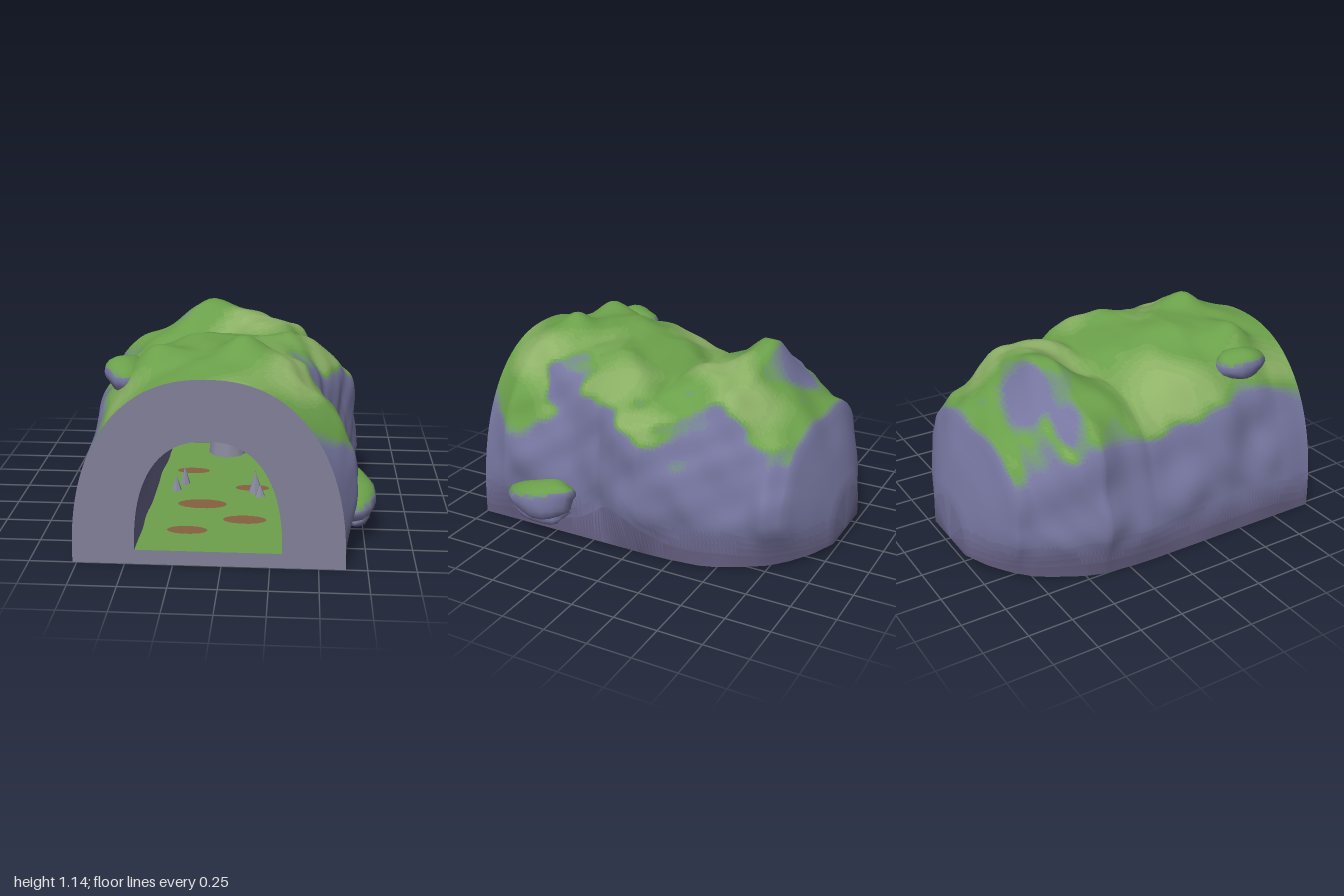
import * as THREE from 'three';
import { mergeVertices } from 'three/addons/utils/BufferGeometryUtils.js';

const mat = (color) => new THREE.MeshStandardMaterial({ color });
const FACE = mat(0x817f98), BASE = mat(0x4a4054), INNER = mat(0x66658c), SOIL = mat(0x86603f);
const STONE = mat(0x8a8aa0), CRYSTAL = mat(0x5fb0a8), FLOOR_MOSS = mat(0x6da04c);
const { lerp, smoothstep, clamp } = THREE.MathUtils;
const CX = -0.067;
const bell = (x, z, cx, cz, r) => Math.exp(-((x - cx) ** 2 + (z - cz) ** 2) / (r * r));
const noise = (x, y, z) =>
  Math.sin(7 * x + 3 * z + 1) * Math.sin(8 * y - 4 * z) + 0.6 * Math.sin(13 * z + 5 * y) * Math.sin(11 * x - 9 * y + 2);

// Colour ramp from shaded foot over bare rock and moss to pale moss
const STOPS = [0x5f5676, 0x7676a0, 0x6ba04a, 0x8fb268].map((c) => new THREE.Color(c));
const RAMP = Array.from({ length: 16 }, (_, i) => {
  const s = Math.min(Math.floor(i / 5), 2);
  return mat(STOPS[s].clone().lerp(STOPS[s + 1], i / 5 - s));
});

// z, left edge, right edge, crest height, half width on the ground
const STATIONS = [
  [1, -0.772, 0.638, 1.0, 0.705], [0.8, -0.765, 0.72, 1.04, 0.705], [0.67, -0.77, 0.68, 1.06, 0.705],
  [0.4, -0.77, 0.64, 1.06, 0.705], [0.2, -0.77, 0.65, 1.01, 0.705], [0.05, -0.77, 0.71, 0.97, 0.705],
  [-0.08, -0.775, 0.73, 0.91, 0.705], [-0.22, -0.79, 0.69, 0.97, 0.7], [-0.4, -0.82, 0.63, 1.02, 0.68],
  [-0.5, -0.77, 0.59, 1.01, 0.65], [-0.65, -0.7, 0.57, 0.86, 0.58], [-0.75, -0.65, 0.59, 0.78, 0.53],
  [-0.84, -0.63, 0.52, 0.72, 0.45], [-0.93, -0.47, 0.34, 0.52, 0.34], [-1, -0.27, 0.14, 0.3, 0.2],
];
function station(z) {
  let i = 0;
  while (i < STATIONS.length - 2 && STATIONS[i + 1][0] > z) i++;
  const a = STATIONS[i], b = STATIONS[i + 1], k = (z - a[0]) / (b[0] - a[0]);
  return a.map((v, n) => lerp(v, b[n], k));
}

// Unit arch point: t runs from the +x foot over the crown to the -x foot
function archPoint(t, n) {
  const c = Math.cos(t), s = Math.max(Math.sin(t), 0);
  return [Math.sign(c) * Math.abs(c) ** (2 / n), s < 1e-9 ? 0 : s ** (2 / n)];
}

// Skin between equal rings; flip turns the faces inwards
function loft(rings, flip = false) {
  const w = rings[0].length, index = [];
  for (let i = 0; i < rings.length - 1; i++)
    for (let j = 0; j < w - 1; j++) {
      const a = i * w + j, b = a + 1, c = a + w, d = c + 1;
      index.push(...(flip ? [a, b, c, b, d, c] : [a, c, b, b, c, d]));
    }
  const g = new THREE.BufferGeometry();
  g.setAttribute('position', new THREE.Float32BufferAttribute(rings.flat(2), 3));
  g.setIndex(index);
  g.computeVertexNormals();
  return g;
}

function add(parent, name, geometry, material, x = 0, y = 0, z = 0) {
  const m = new THREE.Mesh(geometry, material);
  m.name = name;
  m.position.set(x, y, z);
  parent.add(m);
  return m;
}

// Share one smooth surface between the ramp colours; shade gives 0..3 per triangle
function addPainted(parent, name, geometry, shade) {
  const { position, normal } = geometry.attributes, ix = geometry.index.array, sets = {};
  const mid = (attr, i) => new THREE.Vector3(...['getX', 'getY', 'getZ'].map((f) =>
    (attr[f](ix[i]) + attr[f](ix[i + 1]) + attr[f](ix[i + 2])) / 3));
  for (let i = 0; i < ix.length; i += 3) {
    const level = Math.round(clamp(shade(mid(position, i), mid(normal, i)), 0, 3) * 5);
    (sets[level] ??= []).push(ix[i], ix[i + 1], ix[i + 2]);
  }
  for (const level in sets) add(parent, name, geometry.clone().setIndex(sets[level]), RAMP[level]);
}

function shellRing(z, steps) {
  const [, xl, xr, top, foot] = station(z);
  const loose = smoothstep(1 - z, 0, 0.3);
  // squarer right shoulder in the middle of the hill
  const right = 2.7 + 2.4 * Math.exp(-(((z - 0.08) / 0.2) ** 2));
  const ground = 0.05 * clamp((-z - 0.4) / 0.6, 0, 1) ** 2, mid = (xl + xr) / 2, half = (xr - xl) / 2;
  return Array.from({ length: steps + 1 }, (_, j) => {
    const t = (Math.PI * j) / steps;
    const [u, v] = archPoint(t, lerp(2.3, t < Math.PI / 2 ? right : 2.65, loose));
    const k = smoothstep(v * top, 0, 0.3);
    let x = lerp(CX + u * foot, mid + u * half, k), y = ground + v * (top - ground);
    // knobbly surface, pit, humps and crest
    const d = (0.02 * noise(x, y, z) + 0.011 * noise(2 * x + 1, 2 * y, 1.8 * z)) * loose * k * smoothstep(z, -1, -0.8);
    x += d * Math.cos(t);
    y += d * Math.sin(t);
    const crest = 0.08 * bell(x, z, 0.1, 0.66, 0.12) + 0.09 * bell(x, z, -0.37, 0.7, 0.12)
      + 0.05 * bell(x, z, 0.4, 0.22, 0.16) + 0.05 * bell(x, z, -0.19, -0.45, 0.15)
      - 0.07 * bell(x, z, -0.12, -0.2, 0.12) - 0.09 * bell(x, z, -0.5, -0.48, 0.2)
      - 0.05 * bell(x, z, -0.56, 0.63, 0.13);
    y += crest * loose * v ** 3;
    return [x, y, z];
  });
}

function hillShade(p, n) {
  const patch = noise(p.x * 0.7, p.y * 0.8, p.z * 0.7);
  const side = p.x > 0 ? 0.6 * bell(p.y, p.z, 0.75, 0.78, 0.2) : 0;
  const bare = 0.4 * bell(p.x, p.z, 0.38, 0.52, 0.16) + 0.5 * bell(p.x, p.z, -0.3, -0.6, 0.09)
    + 0.5 * bell(p.x, p.z, -0.5, -0.48, 0.1);
  const wet = n.y + 0.1 * patch + side - bare;
  const moss = smoothstep(wet, 0.45, 0.72) * smoothstep(p.y, 0.45, 0.65) * smoothstep(p.z, -0.86, -0.8);
  return smoothstep(p.y, -0.05, 0.28) + moss + moss * smoothstep(patch, -0.3, 0.9) * 0.9;
}

// Lumpy stone with moss on top; lean pushes the upper half towards the back
function boulder(parent, name, pos, size, seed, lean) {
  const g0 = new THREE.SphereGeometry(1, 16, 12);
  g0.deleteAttribute('uv');
  g0.deleteAttribute('normal');
  const g = mergeVertices(g0, 1e-4), p = g.attributes.position;
  for (let i = 0; i < p.count; i++) {
    const v = new THREE.Vector3().fromBufferAttribute(p, i);
    v.multiplyScalar(1 + 0.1 * noise(v.x * 0.35 + seed, v.y * 0.35, v.z * 0.35));
    v.z -= lean * Math.max(v.y, 0);
    p.setXYZ(i, pos[0] + v.x * size[0], pos[1] + v.y * size[1], pos[2] + v.z * size[2]);
  }
  g.computeVertexNormals();
  addPainted(parent, name, g, (q, n) => 1 + smoothstep(n.y, 0.35, 0.65));
}

export function createModel() {
  const cave = new THREE.Group();
  cave.name = 'cave';

  // Outer hill with moss on its upward slopes, closed at the back end
  const rings = Array.from({ length: 101 }, (_, i) => shellRing(1 - i / 50, 90));
  add(cave, 'underside', loft(rings.map((r) => [r[0], r[90]]), true), BASE);
  const endMid = [CX, rings[100][0][1], -1];
  rings.push(rings[100].map(() => endMid));
  addPainted(cave, 'hill', loft(rings), hillShade);

  // Cave tunnel, its ceiling sinking towards the back
  const FLOOR = 0.08, BACK = -0.6;
  const archRing = (z, half, height, wobble = 0, steps = 40) => Array.from({ length: steps + 1 }, (_, j) => {
    const [u, v] = archPoint((Math.PI * j) / steps, 2.4);
    const s = 1 + wobble * noise(u, v * 1.3, z * 1.5);
    return [CX + u * half * s, FLOOR + v * height * s, z];
  });
  const tunnel = Array.from({ length: 33 }, (_, i) => {
    const k = i / 32, close = Math.max((k - 0.5) / 0.5, 0) ** 2;
    return archRing(lerp(1, BACK, k), 0.38 - 0.01 * k - 0.015 * close, 0.6 - 0.02 * k - 0.1 * close,
      0.02 * smoothstep(k, 0, 0.2));
  });
  add(cave, 'tunnelWall', loft(tunnel, true), INNER);

  // Flat arch panels with an arched hole
  const outline = (ring) => ring.map(([x, y]) => new THREE.Vector2(x, y));
  function archPanel(name, outer, inner, z, material) {
    const s = new THREE.Shape(outline(outer));
    s.holes.push(new THREE.Path(outline(inner)));
    add(cave, name, new THREE.ShapeGeometry(s), material, 0, 0, z);
  }
  archPanel('frontFace', rings[0], tunnel[0], 1, FACE);

  // Back wall and the niche behind it
  const niche = [0, 0.16].map((d) => archRing(BACK - d, 0.125, 0.34, 0, 20));
  const nicheHole = niche[0].map(([x, y, z]) => [x, y + 0.002, z]);
  archPanel('backWall', tunnel[32], nicheHole, BACK, INNER);
  add(cave, 'nicheWall', loft(niche, true), INNER);
  add(cave, 'nicheBack', new THREE.ShapeGeometry(new THREE.Shape(outline(niche[1]))), INNER, 0, 0, BACK - 0.16);

  // Mossy floor with bare soil patches
  const floorRows = [...tunnel, ...niche].map((r) => [r[0], r[r.length - 1]]);
  add(cave, 'floor', loft(floorRows), FLOOR_MOSS);
  const soil = [[-0.2, 0.75, 0.11], [0.1, 0.6, 0.12], [-0.15, 0.4, 0.14], [0.12, 0.15, 0.1], [-0.25, -0.1, 0.1]];
  for (const [x, z, r] of soil) {
    const patch = add(cave, 'soilPatch', new THREE.CircleGeometry(r, 14), SOIL, x, FLOOR + 0.003, z);
    patch.rotation.x = -Math.PI / 2;
    patch.scale.y = 0.45;
  }

  // Plinth with a slab
  const PZ = BACK + 0.14;
  add(cave, 'plinth', new THREE.CylinderGeometry(0.11, 0.122, 0.11, 10), STONE, CX, FLOOR + 0.055, PZ);
  add(cave, 'plinthSlab', new THREE.CylinderGeometry(0.132, 0.132, 0.02, 10), STONE, CX, FLOOR + 0.12, PZ);

  // Hanging and standing stone spikes: x, base y, z, length (negative hangs), radius
  const spikes = [
    [-0.3, 0.63, 0.5, -0.16, 0.027], [-0.03, 0.69, 0.5, -0.12, 0.022], [0.04, 0.68, 0.4, -0.14, 0.027],
    [0.08, 0.67, 0.55, -0.24, 0.038], [0.14, 0.66, 0.35, -0.16, 0.03], [0.19, 0.64, 0.5, -0.1, 0.024],
    [-0.32, FLOOR, 0.2, 0.09, 0.03], [-0.28, FLOOR, 0.1, 0.11, 0.03],
    [0.14, FLOOR, 0.2, 0.13, 0.042], [0.17, FLOOR, 0.26, 0.07, 0.03],
  ];
  for (const [x, y, z, len, r] of spikes) {
    const g = new THREE.ConeGeometry(r, Math.abs(len), 6).toNonIndexed();
    g.computeVertexNormals();
    const m = add(cave, len < 0 ? 'stalactite' : 'stalagmite', g, STONE, x, y + len / 2, z);
    if (len < 0) m.rotation.x = Math.PI;
  }

  // Pointed crystals, single or in clusters
  const profile = [[0, 0], [0.18, 0.08], [0.2, 0.65], [0, 1]].map(([x, y]) => new THREE.Vector2(x, y));
  const gem = new THREE.LatheGeometry(profile, 6).toNonIndexed();
  gem.computeVertexNormals();
  function crystals(name, x, y, z, tilts, size, shrink) {
    const group = new THREE.Group();
    group.name = name;
    group.position.set(x, y, z);
    tilts.forEach((a, i) => {
      const m = add(group, 'crystal', gem, CRYSTAL, 0, 0, (i - (tilts.length - 1) / 2) * 0.03);
      m.rotation.z = a;
      m.scale.setScalar(size * shrink ** i);
    });
    cave.add(group);
  }
  crystals('plinthCrystals', CX, FLOOR + 0.125, PZ, [0, 0.4, -0.4], 0.12, 0.5);
  crystals('wallCrystals', -0.39, 0.49, 0.5, [-1.85, -1.5, -2.1, -1.2], 0.11, 0.82);
  crystals('ceilingCrystals', -0.08, 0.68, 0.5, [3.1, 2.6, 3.7], 0.08, 0.82);

  // Boulders resting on the outside
  boulder(cave, 'sideBoulder', [0.69, 0.225, 0.57], [0.12, 0.115, 0.2], 0.4, 0.45);
  boulder(cave, 'sideBoulderFoot', [0.69, 0.145, 0.56], [0.09, 0.07, 0.16], 1.3, 0);
  boulder(cave, 'topBoulder', [-0.51, 0.91, 0.63], [0.12, 0.095, 0.155], 2.1, 0);
  return cave;
}
